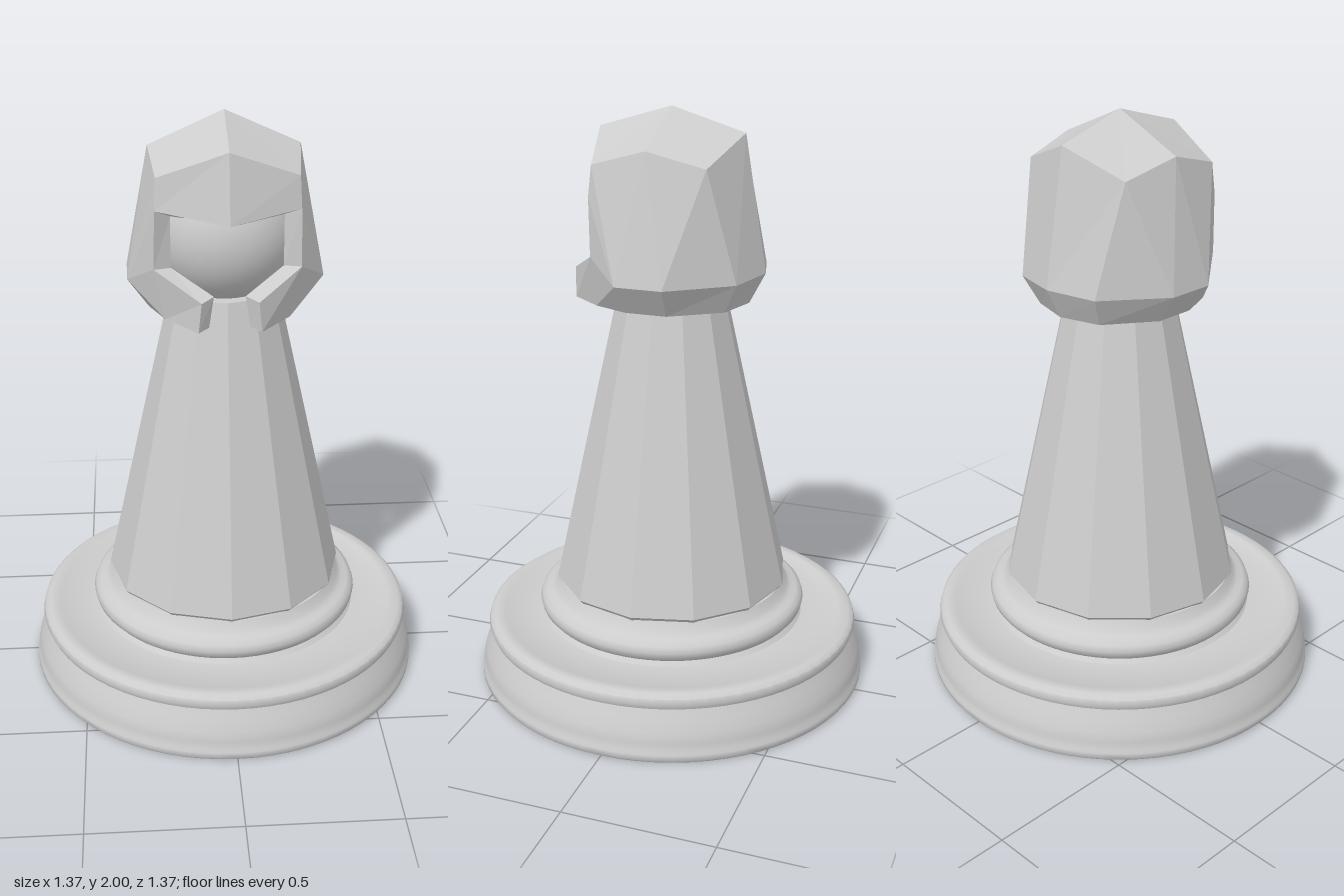
import * as THREE from 'three';
import { toCreasedNormals } from 'three/addons/utils/BufferGeometryUtils.js';

const lightGrey = new THREE.MeshStandardMaterial({ color: 0xcccccc });

function part(name, geometry) {
  const mesh = new THREE.Mesh(geometry, lightGrey);
  mesh.name = name;
  return mesh;
}

function flat(geometry) {
  const g = geometry.index ? geometry.toNonIndexed() : geometry;
  g.computeVertexNormals();
  return g;
}

// Turned, stepped base with rounded rims
function baseGeometry() {
  const profile = [
    [0, 0], [0.68, 0], [0.686, 0.008], [0.686, 0.028], [0.68, 0.036], [0.679, 0.065], [0.67, 0.1],
    [0.65, 0.14], [0.636, 0.172], [0.65, 0.178], [0.657, 0.195], [0.652, 0.214],
    [0.635, 0.226], [0.6, 0.227], [0.59, 0.22], [0.465, 0.226], [0.452, 0.24],
    [0.465, 0.255], [0.47, 0.275], [0.463, 0.295], [0.445, 0.307], [0.425, 0.31],
    [0.41, 0.325], [0.395, 0.352], [0, 0.352],
  ].map(([r, y]) => new THREE.Vector2(r, y));
  return toCreasedNormals(new THREE.LatheGeometry(profile, 72), 0.7);
}

// Corner points for the helmet's left half; the right half is mirrored
const P = {
  apex: [0, 2, 0],
  // crown edge, back to front
  t0: [0, 1.925, -0.25], t1: [0.215, 1.84, -0.19], ts: [0.245, 1.89, 0],
  t4: [0.225, 1.835, 0.19], t5: [0, 1.925, 0.25],
  // brow edge
  v4: [0.23, 1.732, 0.2], v5: [0, 1.705, 0.29],
  // widest ring and cheek corner
  m0: [0, 1.475, -0.325], m1: [0.17, 1.47, -0.278], m2: [0.32, 1.47, -0.08],
  m3: [0.32, 1.47, 0.08], m4: [0.235, 1.54, 0.195],
  // lower rim
  b0: [0, 1.37, -0.27], b1: [0.14, 1.37, -0.23], b2: [0.25, 1.37, -0.07],
  b3: [0.25, 1.37, 0.07], b4: [0.2, 1.37, 0.19],
  // jaw guard tip
  pu: [0.09, 1.465, 0.31], pl: [0.1, 1.365, 0.305],
  // inner edges
  v4i: [0.18, 1.705, 0.165], v5i: [0, 1.69, 0.22], m4i: [0.18, 1.535, 0.165],
  pui: [0.05, 1.475, 0.275], pli: [0.065, 1.37, 0.27],
  b0i: [0, 1.38, -0.21], b1i: [0.11, 1.38, -0.18], b2i: [0.2, 1.38, -0.05],
  b3i: [0.2, 1.38, 0.06], b4i: [0.15, 1.375, 0.16],
  u0: [0, 1.6, -0.26], u1: [0.15, 1.6, -0.22], u2: [0.26, 1.56, 0],
};

const FACES = [
  // crown
  't5 t4 apex', 't4 ts apex', 'ts t1 apex', 't1 t0 apex',
  // brow, sides and back
  'v5 v4 t4 t5', 'm4 m3 v4', 'v4 m3 t4', 'm3 ts t4', 'm3 m2 ts',
  'm2 t1 ts', 'm2 m1 t1', 'm1 m0 t0 t1',
  // lower bevel and jaw guard
  'b3 b2 m2 m3', 'b2 b1 m1 m2', 'b1 b0 m0 m1', 'b4 b3 m3', 'b4 m3 m4', 'pl b4 m4 pu',
  // thickness around the opening and rim
  'v5 v5i v4i v4', 'v4 v4i m4i m4', 'm4 m4i pui pu', 'pu pui pli pl',
  'pl pli b4i b4', 'b4 b4i b3i b3', 'b3 b3i b2i b2', 'b2 b2i b1i b1', 'b1 b1i b0i b0',
  // inner wall
  'pui m4i b4i pli', 'm4i b3i b4i', 'm4i u2 b3i', 'u2 b2i b3i', 'v4i u2 m4i',
  'u2 u1 b1i b2i', 'u1 u0 b0i b1i',
];

function helmetGeometry() {
  const positions = [];
  for (const side of [1, -1]) {
    for (const face of FACES) {
      const corners = face.split(' ').map((n) => P[n]);
      if (side < 0) corners.reverse();
      for (let i = 1; i < corners.length - 1; i++) {
        for (const [x, y, z] of [corners[0], corners[i], corners[i + 1]]) {
          positions.push(side * x, y, z);
        }
      }
    }
  }
  const g = new THREE.BufferGeometry();
  g.setAttribute('position', new THREE.Float32BufferAttribute(positions, 3));
  return flat(g);
}

export function createModel() {
  const model = new THREE.Group();
  model.name = 'helmetedPawn';

  model.add(part('base', baseGeometry()));

  // Twelve-sided tapering body with a small undercut at its foot
  const body = part('body', flat(new THREE.CylinderGeometry(0.178, 0.41, 1.05, 12)));
  body.position.y = 0.365 + 0.525;
  const foot = part('bodyFoot', flat(new THREE.CylinderGeometry(0.41, 0.385, 0.03, 12, 1, true)));
  foot.position.y = 0.35;
  model.add(body, foot);

  // Smooth round head inside the helmet
  const head = part('head', new THREE.SphereGeometry(0.245, 48, 32));
  head.position.y = 1.62;
  model.add(head, part('helmet', helmetGeometry()));

  return model;
}
